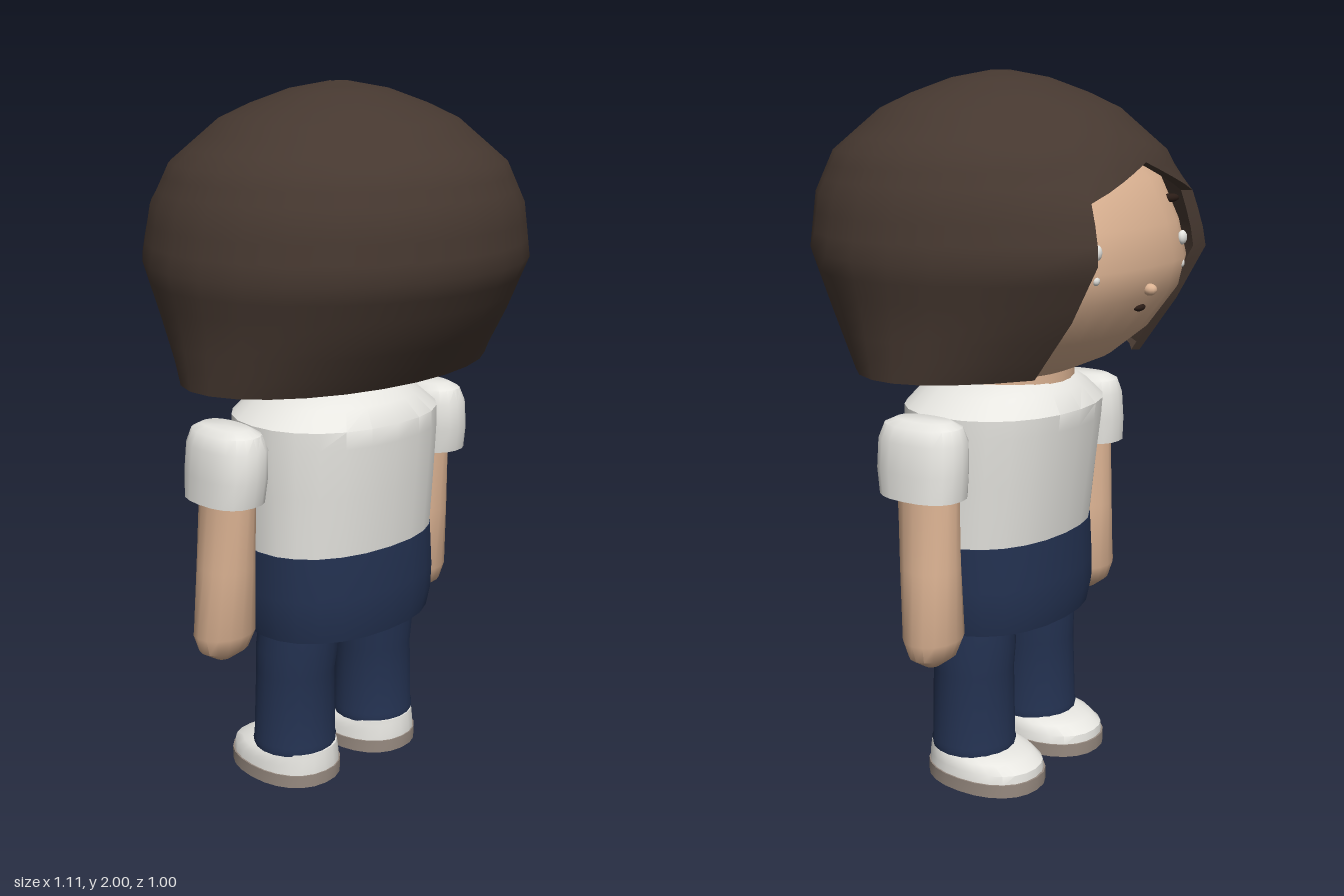
import * as THREE from 'three';
import { mergeGeometries, toCreasedNormals } from 'three/addons/utils/BufferGeometryUtils.js';

const paint = (name, color, side = THREE.FrontSide) => {
  const m = new THREE.MeshStandardMaterial({ color, side });
  m.name = name;
  return m;
};

// Grid surface: u runs to the right seen from outside, v runs down.
function patch(f, nu, nv) {
  const pos = [], idx = [], n = nu + 1;
  for (let i = 0; i <= nv; i++)
    for (let j = 0; j <= nu; j++) pos.push(...f(j / nu, i / nv));
  for (let i = 0; i < nv; i++)
    for (let j = 0; j < nu; j++) {
      const a = i * n + j, c = a + n;
      idx.push(a, c, a + 1, a + 1, c, c + 1);
    }
  const g = new THREE.BufferGeometry();
  g.setAttribute('position', new THREE.Float32BufferAttribute(pos, 3));
  g.setIndex(idx);
  return g;
}

// Closed body through sections [y, rx, rz, cx, cz], listed from top to bottom.
function loft(sections, power = 2, sides = 24) {
  const first = sections[0], last = sections[sections.length - 1];
  const flat = ([y, , , cx = 0, cz = 0]) => [y, 0, 0, cx, cz];
  const all = [flat(first), ...sections, flat(last)];
  const bend = (s) => Math.sign(s) * Math.abs(s) ** (2 / power);
  const g = patch((u, v) => {
    const [y, rx, rz, cx = 0, cz = 0] = all[Math.round(v * (all.length - 1))];
    const a = (u % 1) * Math.PI * 2;
    return [cx + rx * bend(Math.sin(a)), y, cz + rz * bend(Math.cos(a))];
  }, sides, all.length - 1);
  return toCreasedNormals(g, 0.75);
}

// Hair outline from crown to hem: [y, rx, rz]
const HAIR = [
  [1.985, 0, 0], [2.0, 0.025, 0.025], [1.98, 0.14, 0.13], [1.94, 0.25, 0.24], [1.9, 0.335, 0.325],
  [1.79, 0.47, 0.45], [1.68, 0.525, 0.495], [1.53, 0.555, 0.505], [1.38, 0.526, 0.425], [1.22, 0.512, 0.31],
];

function hairPoint(a, v, k = 1) {
  const s = v * 9, i = Math.min(8, Math.floor(s)), f = s - i;
  const [y, rx, rz] = HAIR[i].map((p, c) => p + (HAIR[i + 1][c] - p) * f);
  // side locks push forward beside the face
  const fromFace = Math.abs(Math.PI - Math.abs(a));
  const ramp = THREE.MathUtils.smoothstep(s, 5, 7);
  const lock = 1 + 0.13 * ramp * Math.exp(-(((fromFace - 0.52) / 0.35) ** 2));
  return [rx * Math.sin(a) * k, y, rz * Math.cos(a) * k * lock];
}

function hairGeometry() {
  const edge = (v) => 0.45 + 0.1 * v;
  const around = (u, v) => (2 * u - 1) * (Math.PI - edge(v));
  const front = (u, v) => Math.PI + (2 * u - 1) * edge(v);
  const fringe = (u) => (5.2 + 0.8 * Math.abs(2 * u - 1)) / 9;
  const thin = (w) => 1 - 0.06 * w;
  const low = (v) => (6 + 3 * v) / 9;
  return toCreasedNormals(mergeGeometries([
    patch((u, v) => hairPoint(around(u, v), v), 22, 27),
    patch((u, v) => { const t = v * fringe(u); return hairPoint(front(u, t), t); }, 8, 18),
    // rims: hem, fringe and both sides of the face opening
    patch((u, w) => hairPoint(around(u, 1), 1, thin(w)), 22, 1),
    patch((u, w) => hairPoint(front(u, fringe(u)), fringe(u), thin(w)), 8, 1),
    patch((w, v) => hairPoint(around(0, low(v)), low(v), thin(1 - w)), 1, 9),
    patch((w, v) => hairPoint(around(1, low(v)), low(v), thin(w)), 1, 9),
  ]), 0.7);
}

export function createModel() {
  const model = new THREE.Group();
  model.name = 'child';
  const hair = paint('brown hair', 0x463830, THREE.DoubleSide);
  const skin = paint('skin', 0xdcb393);
  const white = paint('white cloth', 0xe9e8e3);
  const navy = paint('navy cloth', 0x233150);
  const sole = paint('grey sole', 0x978a80);
  const dark = paint('dark features', 0x2b1d17);

  const add = (name, geometry, material, parent = model) => {
    const m = new THREE.Mesh(geometry, material);
    m.name = name;
    parent.add(m);
    return m;
  };
  const bead = (name, material, p, r) => {
    const m = add(name, new THREE.SphereGeometry(1, 12, 8), material);
    m.position.set(...p);
    m.scale.set(...r);
    return m;
  };

  // Head, neck and hair
  const head = [[1.88, 0.1], [1.83, 0.27], [1.72, 0.385], [1.6, 0.435], [1.5, 0.457], [1.42, 0.44],
    [1.31, 0.365], [1.23, 0.27], [1.19, 0.18]];
  add('head', loft(head.map(([y, r]) => [y, r * 1.04, r, 0, -0.03]), 2.5, 32), skin);
  add('neck', loft([[1.26, 0.2, 0.18, 0, -0.03], [1.12, 0.2, 0.18, 0, -0.03]]), skin);
  add('hair', hairGeometry(), hair);

  // Face, on the -z side
  bead('nose', skin, [0, 1.44, -0.48], [0.018, 0.016, 0.02]);
  bead('mouth', dark, [0, 1.39, -0.45], [0.025, 0.01, 0.012]);
  for (const s of [1, -1]) {
    bead('brow', dark, [s * 0.22, 1.66, -0.412], [0.03, 0.012, 0.012]).rotation.y = s * 0.35;
    bead('eyeGlint', white, [s * 0.22, 1.555, -0.452], [0.018, 0.02, 0.012]);
    bead('smallEyeGlint', white, [s * 0.22, 1.485, -0.45], [0.012, 0.013, 0.01]);
  }

  // Torso
  add('shirt', loft([[1.17, 0.2, 0.18, 0, -0.02], [1.14, 0.25, 0.215, 0, -0.018], [1.09, 0.31, 0.255, 0, -0.016],
    [1.04, 0.312, 0.252, 0, -0.014], [0.9, 0.308, 0.238, 0, -0.01], [0.725, 0.302, 0.22, 0, -0.006]], 2.2), white);
  add('hips', loft([[0.725, 0.305, 0.221, 0, -0.006], [0.6, 0.31, 0.229, 0, -0.006], [0.53, 0.308, 0.229, 0, -0.008],
    [0.47, 0.295, 0.218, 0, -0.008]], 2.2), navy);

  for (const s of [1, -1]) {
    const side = new THREE.Group();
    side.name = s > 0 ? 'leftLimbs' : 'rightLimbs';
    model.add(side);
    const x = (v) => s * v;

    // Arm and puffed sleeve
    add('sleeve', loft([[1.105, 0.045, 0.085, x(0.39), -0.03], [1.09, 0.07, 0.115, x(0.39), -0.028],
      [1.05, 0.085, 0.13, x(0.39), -0.027], [0.97, 0.088, 0.132, x(0.395), -0.028],
      [0.9, 0.088, 0.124, x(0.398), -0.032]], 2.4, 20), white, side);
    add('arm', loft([[0.95, 0.065, 0.094, x(0.383), -0.035], [0.7, 0.079, 0.086, x(0.388), -0.045],
      [0.5, 0.095, 0.077, x(0.39), -0.055], [0.45, 0.075, 0.06, x(0.394), -0.055],
      [0.42, 0.025, 0.02, x(0.396), -0.055]], 2, 16), skin, side);

    // Trouser leg with cuff
    add('leg', loft([[0.52, 0.108, 0.12, x(0.148), -0.012], [0.4, 0.118, 0.124, x(0.155), -0.015],
      [0.33, 0.116, 0.116, x(0.158), -0.018], [0.12, 0.121, 0.119, x(0.161), -0.02],
      [0.11, 0.124, 0.122, x(0.161), -0.02], [0.095, 0.122, 0.12, x(0.161), -0.02]], 2, 20), navy, side);

    // Shoe
    add('shoe', loft([[0.1, 0.112, 0.12, x(0.158), -0.015], [0.085, 0.124, 0.152, x(0.158), -0.045],
      [0.062, 0.131, 0.172, x(0.158), -0.062], [0.035, 0.134, 0.174, x(0.158), -0.063]], 2.2), white, side);
    add('shoeSole', loft([[0.038, 0.138, 0.178, x(0.158), -0.064], [0, 0.138, 0.178, x(0.158), -0.064]], 2.2), sole, side);
  }
  return model;
}
